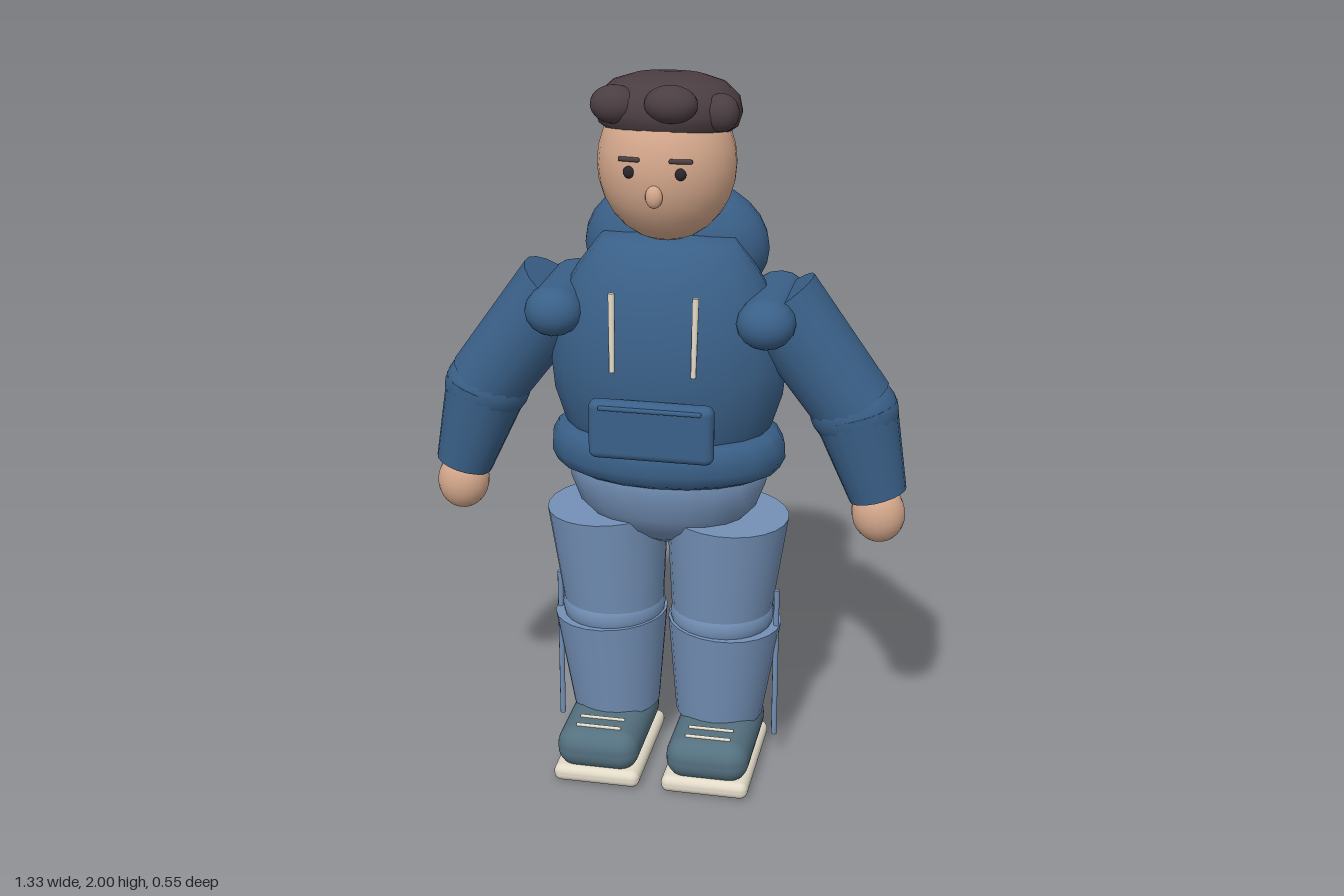
import * as THREE from 'three';
import { RoundedBoxGeometry } from 'three/addons/geometries/RoundedBoxGeometry.js';

const mat = (name, color) => {
  const m = new THREE.MeshStandardMaterial({ color });
  m.name = name;
  return m;
};

export function createModel() {
  const model = new THREE.Group();
  model.name = 'figure';
  const hoodie = mat('hoodie blue', 0x3a6088);
  const pants = mat('denim', 0x7390b6);
  const skin = mat('skin', 0xd5a88c);
  const hair = mat('hair brown', 0x4b3e43);
  const shoe = mat('shoe slate', 0x54707f);
  const cream = mat('cream', 0xe2dac8);
  const dark = mat('eye dark', 0x2b262b);

  const add = (name, geo, material, x = 0, y = 0, z = 0) => {
    const mesh = new THREE.Mesh(geo, material);
    mesh.name = name;
    mesh.position.set(x, y, z);
    model.add(mesh);
    return mesh;
  };
  const blob = (name, material, [x, y, z], [rx, ry, rz], seg = 20) =>
    add(name, new THREE.SphereGeometry(1, seg, 14).scale(rx, ry, rz), material, x, y, z);
  // Turned body with an oval plan; profile runs from bottom to top
  const turned = (name, material, profile, depth, seg = 20) =>
    add(name, new THREE.LatheGeometry(profile.map(p => new THREE.Vector2(...p)), seg).scale(1, 1, depth), material);
  // Tapered cylinder from point a to point b
  const limb = (name, material, a, b, ra, rb, seg = 18) => {
    const A = new THREE.Vector3(...a), B = new THREE.Vector3(...b);
    const dir = B.clone().sub(A);
    const mesh = add(name, new THREE.CylinderGeometry(rb, ra, dir.length(), seg), material);
    mesh.position.copy(A).add(B).multiplyScalar(0.5);
    mesh.quaternion.setFromUnitVectors(new THREE.Vector3(0, 1, 0), dir.normalize());
    return mesh;
  };
  const box = (name, material, [w, h, d], r, [x, y, z]) =>
    add(name, new RoundedBoxGeometry(w, h, d, 4, r), material, x, y, z);

  // Head and face
  blob('head', skin, [0, 1.765, 0.012], [0.186, 0.21, 0.173], 28);
  blob('nose', skin, [0, 1.712, 0.183], [0.023, 0.03, 0.017], 12);
  for (const s of [-1, 1]) {
    blob('eye', dark, [s * 0.068, 1.772, 0.173], [0.015, 0.016, 0.01], 12);
    const brow = box('eyebrow', hair, [0.062, 0.012, 0.012], 0.005, [s * 0.068, 1.805, 0.17]);
    brow.rotation.set(0, s * 0.3, s * -0.05);
  }

  // Hair cap and front curls
  const cap = turned('hairCap', hair, [
    [0, 0], [0.165, 0], [0.185, 0.015], [0.196, 0.05], [0.187, 0.09], [0.15, 0.125], [0.09, 0.144], [0, 0.15],
  ], 0.9, 24);
  cap.position.set(0, 1.848, -0.008);
  cap.rotation.x = -0.08;
  blob('curl', hair, [-0.12, 1.932, 0.105], [0.064, 0.05, 0.05]);
  blob('curl', hair, [0.036, 1.945, 0.14], [0.07, 0.049, 0.052]);
  blob('curl', hair, [0.155, 1.915, 0.075], [0.047, 0.05, 0.045]);

  // Hoodie body, hem and hood
  turned('hoodieBody', hoodie, [
    [0, 0.98], [0.26, 0.98], [0.29, 1.04], [0.319, 1.13], [0.327, 1.21],
    [0.318, 1.3], [0.29, 1.4], [0.25, 1.47], [0.185, 1.557], [0, 1.575],
  ], 0.665);
  turned('hem', hoodie, [
    [0, 0.9], [0.285, 0.9], [0.315, 0.914], [0.33, 0.945], [0.328, 0.985], [0.31, 1.018], [0.28, 1.03], [0, 1.03],
  ], 0.66);
  blob('hood', hoodie, [0, 1.505, -0.122], [0.257, 0.19, 0.152], 24);

  // Front pocket with its opening, and drawstrings
  box('pocket', hoodie, [0.34, 0.165, 0.05], 0.022, [0, 1.082, 0.225]);
  box('pocketOpening', hoodie, [0.28, 0.012, 0.012], 0.005, [0, 1.148, 0.25]);
  for (const s of [-1, 1])
    limb('drawstring', cream, [s * 0.11, 1.235, 0.207], [s * 0.113, 1.45, 0.193], 0.007, 0.009, 10);

  // Arms
  for (const s of [-1, 1]) {
    const pad = add('shoulder', new THREE.CapsuleGeometry(0.073, 0.25, 8, 16), hoodie, s * 0.288, 1.37, 0);
    pad.rotation.x = Math.PI / 2;
    pad.scale.set(1.08, 1, 0.95);
    limb('upperSleeve', hoodie, [s * 0.515, 1.11, 0], [s * 0.3, 1.4, 0], 0.113, 0.12);
    blob('elbow', hoodie, [s * 0.515, 1.1, 0.002], [0.122, 0.105, 0.114]);
    limb('lowerSleeve', hoodie, [s * 0.59, 0.862, 0.012], [s * 0.518, 1.1, 0], 0.08, 0.117);
    const hand = blob('hand', skin, [s * 0.593, 0.81, 0.015], [0.074, 0.085, 0.065]);
    hand.rotation.z = s * 0.15;
  }

  // Hips
  turned('hips', pants, [
    [0, 0.672], [0.06, 0.678], [0.13, 0.705], [0.2, 0.745], [0.25, 0.795], [0.278, 0.87], [0.28, 0.95], [0, 0.95],
  ], 0.68);

  // Legs and shoes
  for (const s of [-1, 1]) {
    limb('thigh', pants, [s * 0.157, 0.475, 0], [s * 0.172, 0.77, 0.003], 0.143, 0.172, 24);
    blob('knee', pants, [s * 0.158, 0.46, 0], [0.148, 0.1, 0.15], 24);
    limb('shin', pants, [s * 0.152, 0.145, 0], [s * 0.166, 0.44, 0], 0.125, 0.162, 24);
    limb('sideSeam', pants, [s * 0.316, 0.08, 0.01], [s * 0.316, 0.542, 0.01], 0.008, 0.008, 8);
    box('sole', cream, [0.248, 0.05, 0.392], 0.022, [s * 0.156, 0.028, 0.078]);
    box('shoeUpper', shoe, [0.235, 0.122, 0.38], 0.055, [s * 0.158, 0.1, 0.08]);
    for (const z of [0.165, 0.215])
      box('lace', cream, [0.13, 0.01, 0.01], 0.004, [s * 0.158, 0.162, z]);
  }
  return model;
}
